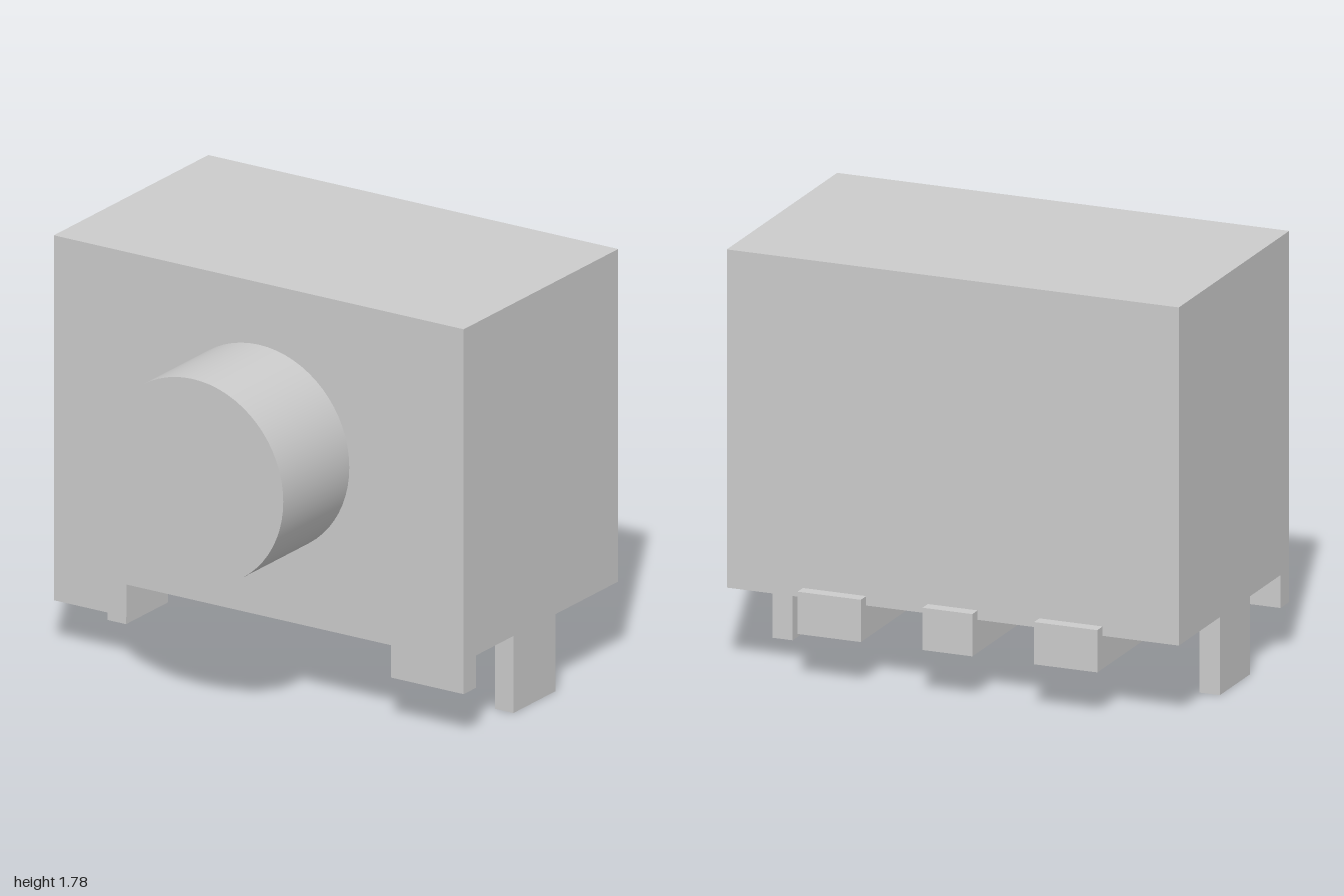
import * as THREE from 'three';

const material = new THREE.MeshStandardMaterial({ color: 0xcccccc });

// Box given by its extents along each axis
function box(name, [x0, x1], [y0, y1], [z0, z1]) {
  const geometry = new THREE.BoxGeometry(x1 - x0, y1 - y0, z1 - z0);
  geometry.translate((x0 + x1) / 2, (y0 + y1) / 2, (z0 + z1) / 2);
  const mesh = new THREE.Mesh(geometry, material);
  mesh.name = name;
  return mesh;
}

// Stepped L profile (drawn in -z, y) extruded across x
function contactPad(name, xCentre, width, zFront) {
  const shape = new THREE.Shape([
    [-zFront, 0.2], [0.84, 0.2], [0.84, 0.38], [0.785, 0.38], [0.785, 0.34], [-zFront, 0.34],
  ].map(([a, y]) => new THREE.Vector2(a, y)));
  const geometry = new THREE.ExtrudeGeometry(shape, { depth: width, bevelEnabled: false });
  geometry.translate(0, 0, -width / 2);
  geometry.rotateY(Math.PI / 2);
  const mesh = new THREE.Mesh(geometry, material);
  mesh.position.x = xCentre;
  mesh.name = name;
  return mesh;
}

export function createModel() {
  const model = new THREE.Group();
  model.name = 'sideSwitch';

  // Housing
  model.add(box('housing', [-1, 1], [0.34, 1.78], [-0.785, 0.35]));

  // Round push button
  const buttonGeometry = new THREE.CylinderGeometry(0.442, 0.442, 0.485, 64);
  buttonGeometry.rotateX(Math.PI / 2);
  const button = new THREE.Mesh(buttonGeometry, material);
  button.position.set(0, 1.068, 0.5925);
  button.name = 'button';
  model.add(button);

  // Front feet, side legs and outer contacts, mirrored left and right
  for (const [side, s] of [['left', 1], ['right', -1]]) {
    const span = (a, b) => (s > 0 ? [a, b] : [-b, -a]);
    model.add(
      box(`${side}FrontFoot`, span(0.645, 1), [0.2, 0.34], [0.26, 0.35]),
      box(`${side}Leg`, span(0.9, 0.99), [0, 0.34], [-0.34, -0.03]),
      contactPad(`${side}Contact`, s * 0.523, 0.28, -0.26),
    );
  }

  // Middle contact
  model.add(contactPad('middleContact', 0, 0.22, -0.345));

  return model;
}
